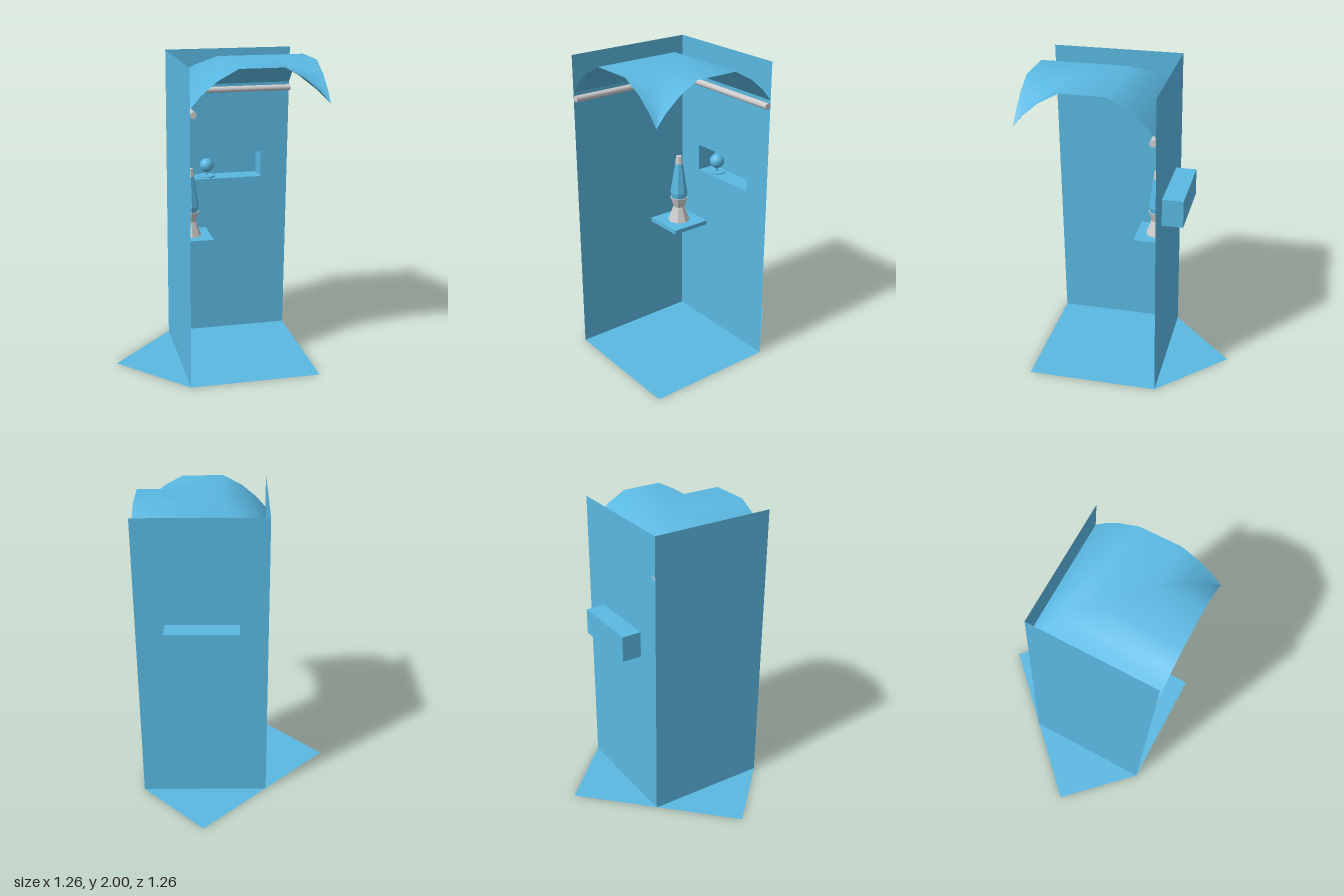
import * as THREE from 'three';

const blue = new THREE.MeshStandardMaterial({ color: 0x5ab8e2, side: THREE.DoubleSide });
const blueFlat = new THREE.MeshStandardMaterial({ color: 0x5ab8e2, flatShading: true });
const grey = new THREE.MeshStandardMaterial({ color: 0xcccccc });
const greyFlat = new THREE.MeshStandardMaterial({ color: 0xcccccc, flatShading: true });

const IN = -0.212;  // plane of both walls
const OUT = 0.632;  // open edge of the booth
const SPAN = OUT - IN;
const MID = (IN + OUT) / 2;
const HEIGHT = 2;

function add(parent, name, geometry, material, x = 0, y = 0, z = 0) {
  const mesh = new THREE.Mesh(geometry, material);
  mesh.name = name;
  mesh.position.set(x, y, z);
  parent.add(mesh);
  return mesh;
}

const shapeOf = (pts) => new THREE.Shape(pts.map(([x, y]) => new THREE.Vector2(x, y)));
const lathe = (pts, sides) =>
  new THREE.LatheGeometry(pts.map(([r, y]) => new THREE.Vector2(r, y)), sides);

// Arched canopy: one arch swept around the corner, mitred on the diagonal
function canopyGeometry() {
  const arch = [[0, 1.765], [0.065, 1.84], [0.16, 1.92], [0.285, 1.988],
    [SPAN - 0.285, 1.988], [SPAN - 0.16, 1.92], [SPAN - 0.065, 1.84], [SPAN, 1.765]];
  const pos = [], index = [];
  arch.forEach(([d, y], i) => {
    const p = IN + d;
    pos.push(OUT, y, p, p, y, p, p, y, OUT);
    if (i === arch.length - 1) return;
    for (let j = 0; j < 2; j++) {
      const a = i * 3 + j, b = a + 1, c = a + 3, e = a + 4;
      index.push(a, b, c, b, e, c);
    }
  });
  const g = new THREE.BufferGeometry();
  g.setAttribute('position', new THREE.Float32BufferAttribute(pos, 3));
  g.setIndex(index);
  g.computeVertexNormals();
  return g;
}

// Box without its front (+z) face
function openBox(w, h, d) {
  const g = new THREE.BoxGeometry(w, h, d);
  const idx = Array.from(g.index.array);
  idx.splice(24, 6);
  g.setIndex(idx);
  g.clearGroups();
  return g;
}

export function createModel() {
  const model = new THREE.Group();
  model.name = 'cornerBooth';

  // Five-sided floor reaching out behind the walls
  const floor = shapeOf([[OUT, -OUT], [OUT, -IN], [-IN, OUT], [-OUT, IN], [IN, -OUT]]);
  add(model, 'floor', new THREE.ShapeGeometry(floor).rotateX(-Math.PI / 2), blue);

  // Back wall with the niche opening
  const n = { x0: -0.03, x1: 0.445, y0: 1.113, y1: 1.29, depth: 0.133 };
  const wall = shapeOf([[IN, 0], [OUT, 0], [OUT, HEIGHT], [IN, HEIGHT]]);
  wall.holes.push(shapeOf([[n.x0, n.y0], [n.x0, n.y1], [n.x1, n.y1], [n.x1, n.y0]]));
  add(model, 'backWall', new THREE.ShapeGeometry(wall), blue, 0, 0, IN);
  add(model, 'niche', openBox(n.x1 - n.x0, n.y1 - n.y0, n.depth), blue,
    (n.x0 + n.x1) / 2, (n.y0 + n.y1) / 2, IN - n.depth / 2);

  // Side wall
  add(model, 'sideWall', new THREE.PlaneGeometry(SPAN, HEIGHT).rotateY(Math.PI / 2),
    blue, IN, HEIGHT / 2, MID);

  // Canopy and the rails below it
  add(model, 'canopy', canopyGeometry(), blue);
  const rail = new THREE.CylinderGeometry(0.02, 0.02, SPAN, 16);
  add(model, 'backRail', rail, grey, MID, 1.73, IN + 0.02).rotation.z = Math.PI / 2;
  add(model, 'sideRail', rail, grey, IN + 0.02, 1.73, MID).rotation.x = Math.PI / 2;

  // Corner shelf
  const shelf = 0.27, s = IN + shelf / 2;
  add(model, 'shelf', new THREE.BoxGeometry(shelf, 0.028, shelf), blue, s, 0.75, s);

  // Faceted lamp: waisted foot, tapering glass, cap
  const lamp = new THREE.Group();
  lamp.name = 'lamp';
  lamp.position.set(s, 0.764, s);
  model.add(lamp);
  add(lamp, 'lampFoot', lathe([[0, 0], [0.074, 0], [0.037, 0.1], [0.06, 0.168], [0, 0.168]], 8), greyFlat);
  add(lamp, 'lampGlass', lathe([[0.052, 0.168], [0.058, 0.205], [0.026, 0.411]], 8), blueFlat);
  add(lamp, 'lampCap', lathe([[0.026, 0.411], [0.019, 0.465], [0, 0.465]], 8), greyFlat);

  // Ball on a stand inside the niche
  const ornament = new THREE.Group();
  ornament.name = 'ornament';
  ornament.position.set(0.077, n.y0, IN - n.depth / 2);
  model.add(ornament);
  add(ornament, 'ornamentBase', new THREE.CylinderGeometry(0.058, 0.058, 0.008, 24), blue, 0, 0.006, 0);
  add(ornament, 'ornamentStem', new THREE.CylinderGeometry(0.008, 0.008, 0.04, 12), blue, 0, 0.025, 0);
  add(ornament, 'ornamentBall', new THREE.SphereGeometry(0.048, 24, 16), blue, 0, 0.08, 0);

  return model;
}
